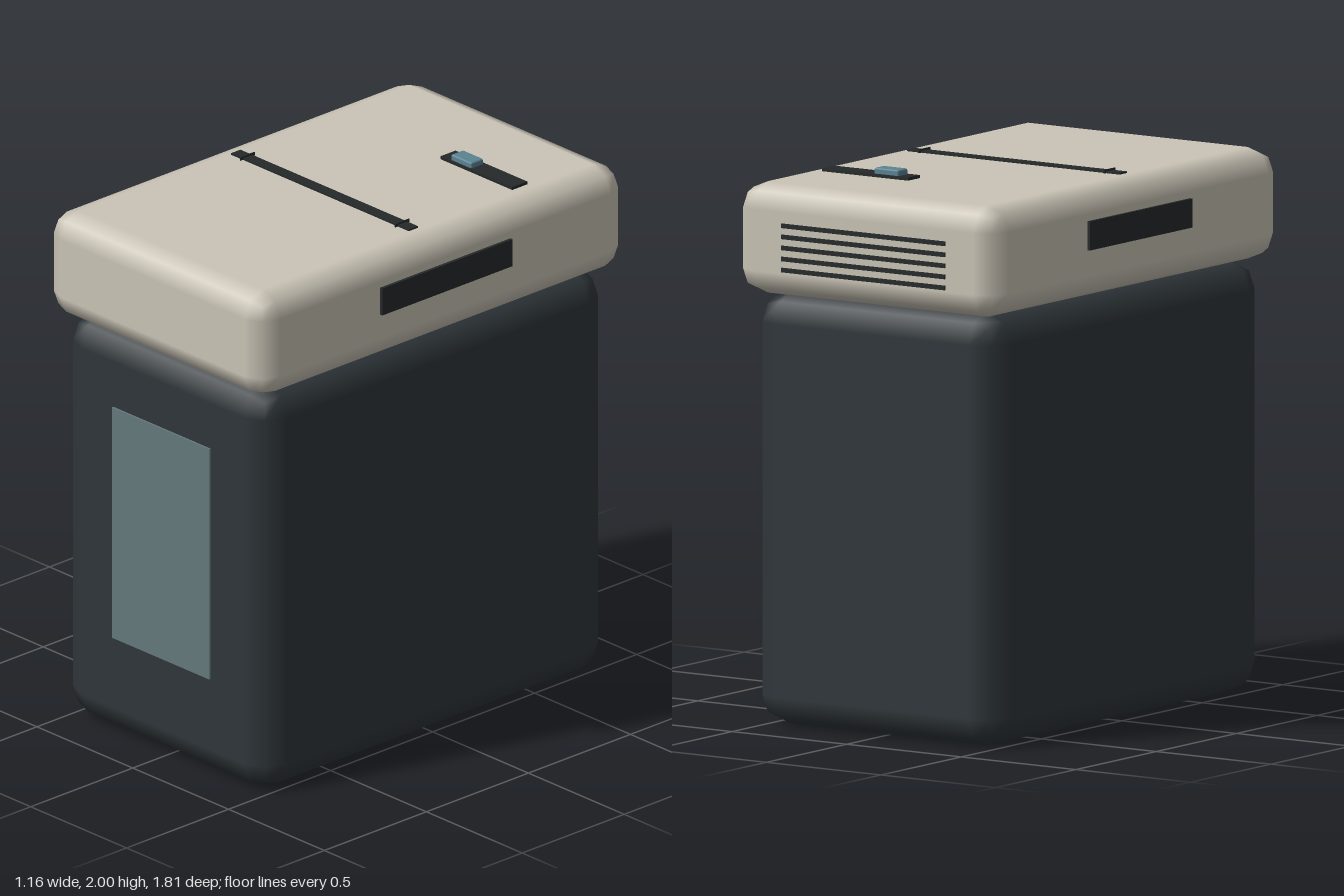
import * as THREE from 'three';
import { RoundedBoxGeometry } from 'three/addons/geometries/RoundedBoxGeometry.js';

const material = (color) => new THREE.MeshStandardMaterial({ color });

export function createModel() {
  const model = new THREE.Group();
  const shell = material(0x2f363a);
  const cream = material(0xcac4b6);
  const dark = material(0x25292a);
  const slate = material(0x64797c);
  const blue = material(0x5b8292);

  // Box given by its extents on each axis; a radius rounds its edges
  const box = (name, mat, [x0, x1], [y0, y1], [z0, z1], radius = 0) => {
    const size = [x1 - x0, y1 - y0, z1 - z0];
    const geometry = radius
      ? new RoundedBoxGeometry(...size, 1, radius)
      : new THREE.BoxGeometry(...size);
    const mesh = new THREE.Mesh(geometry, mat);
    mesh.name = name;
    mesh.position.set((x0 + x1) / 2, (y0 + y1) / 2, (z0 + z1) / 2);
    model.add(mesh);
    return mesh;
  };

  // Main volumes
  box('body', shell, [-0.533, 0.533], [0, 1.57], [-0.843, 0.855], 0.11);
  box('lid', cream, [-0.57, 0.57], [1.565, 1.968], [-0.895, 0.903], 0.09);

  // Front panel
  box('frontPanel', slate, [-0.255, 0.253], [0.385, 1.285], [0.84, 0.862]);

  // Side grip recesses
  for (const side of [-1, 1]) {
    const grip = box('sideGrip', dark, [0.56, 0.582], [1.75, 1.855], [-0.315, 0.323]);
    grip.position.x *= side;
  }

  // Hinge seam across the top with a thin tick near each end
  box('hingeSeam', dark, [-0.465, 0.463], [1.955, 1.974], [0.036, 0.082]);
  for (const x of [-0.404, 0.404]) {
    box('hingeTick', dark, [x - 0.002, x + 0.002], [1.96, 1.981], [0.024, 0.094]);
  }

  // Slider track and button
  box('sliderTrack', dark, [0.075, 0.45], [1.955, 1.979], [-0.511, -0.437]);
  box('sliderButton', blue, [0.123, 0.23], [1.974, 2], [-0.503, -0.443], 0.006);

  // Rear vent slats
  for (let i = 0; i < 5; i++) {
    const y = 1.67 + i * 0.04;
    box('rearVent', dark, [-0.358, 0.356], [y - 0.008, y + 0.008], [-0.902, -0.885]);
  }

  return model;
}
